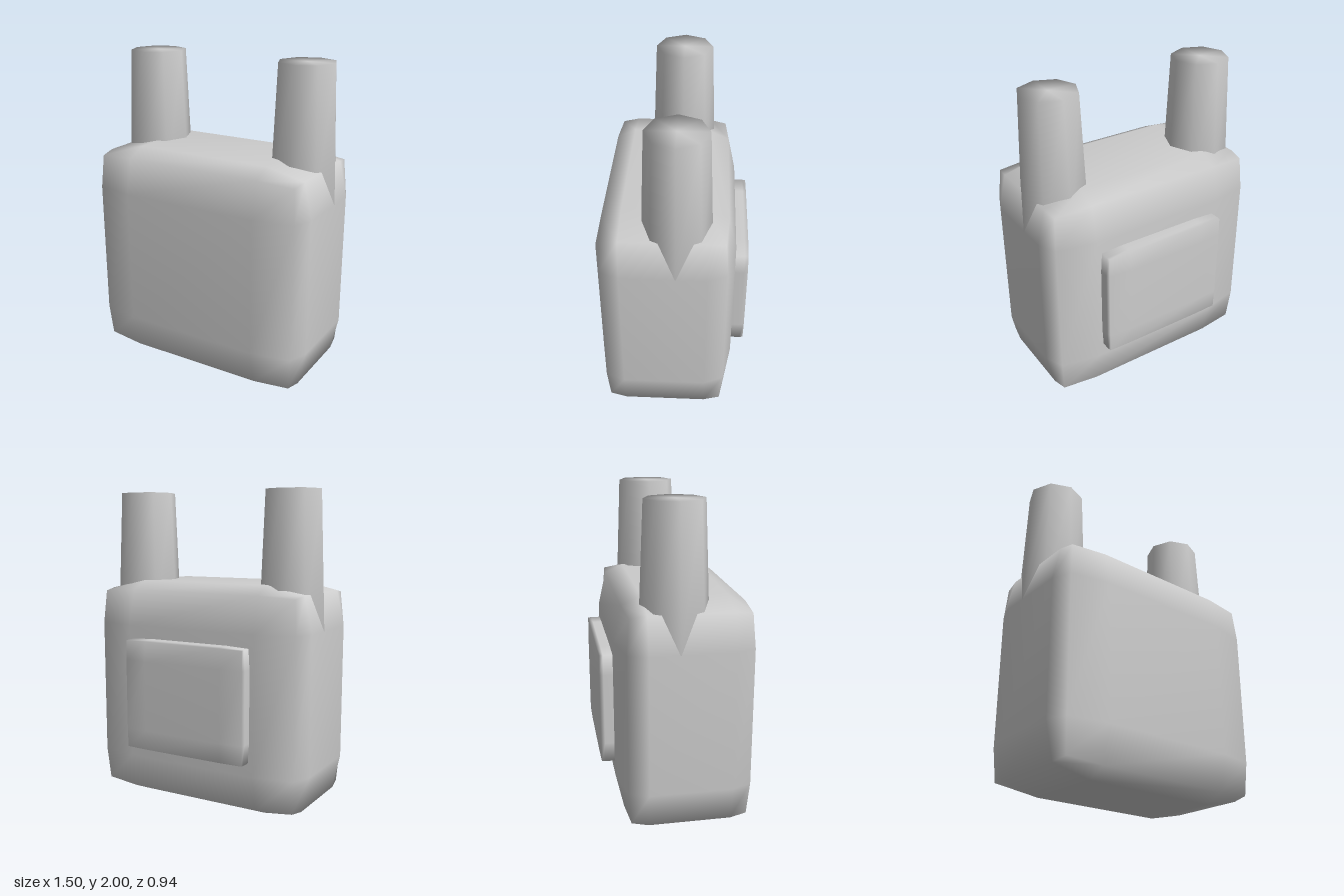
import * as THREE from 'three';
import { mergeVertices } from 'three/addons/utils/BufferGeometryUtils.js';

// Weld shared corners so that shading runs smoothly over the edges
function weld(geometry) {
  geometry.deleteAttribute('uv');
  geometry.deleteAttribute('normal');
  const welded = mergeVertices(geometry, 1e-4);
  welded.computeVertexNormals();
  return welded;
}

// Box with 3 x 3 patches per side; half sizes for the flat face, its inner
// lines, the pulled-in edges and the pulled-in corners, each as [x, y, z]
function softBox({ face, inner, edge, corner }) {
  const geometry = new THREE.BoxGeometry(1, 1, 1, 3, 3, 3);
  const pos = geometry.attributes.position;
  for (let i = 0; i < pos.count; i++) {
    const v = [pos.getX(i), pos.getY(i), pos.getZ(i)];
    const outer = v.map((c) => Math.abs(c) > 0.4);
    const level = [face, face, edge, corner][outer.filter(Boolean).length];
    pos.setXYZ(i, ...v.map((c, a) => Math.sign(c) * (outer[a] ? level : inner)[a]));
  }
  return weld(geometry);
}

export function createModel() {
  const model = new THREE.Group();
  const grey = new THREE.MeshStandardMaterial({ color: 0xcccccc });
  grey.name = 'grey';

  const add = (name, geometry, x, y, z) => {
    const mesh = new THREE.Mesh(geometry, grey);
    mesh.name = name;
    mesh.position.set(x, y, z);
    model.add(mesh);
  };

  // Main body
  add('body', softBox({
    face: [0.75, 0.715, 0.425],
    inner: [0.45, 0.435, 0.255],
    edge: [0.7, 0.66, 0.375],
    corner: [0.685, 0.645, 0.358],
  }), 0, 0.715, 0.045);

  // Raised plate on the back
  add('backPanel', softBox({
    face: [0.427, 0.357, 0.092],
    inner: [0.27, 0.225, 0.058],
    edge: [0.419, 0.35, 0.082],
    corner: [0.417, 0.348, 0.08],
  }), 0, 0.715, -0.38);

  // Tapered eight-sided posts sunk into the top
  const post = weld(new THREE.CylinderGeometry(0.18, 0.215, 0.85, 8));
  for (const [name, side] of [['leftPost', 1], ['rightPost', -1]]) {
    add(name, post, side * 0.536, 1.575, -0.028);
  }

  return model;
}
